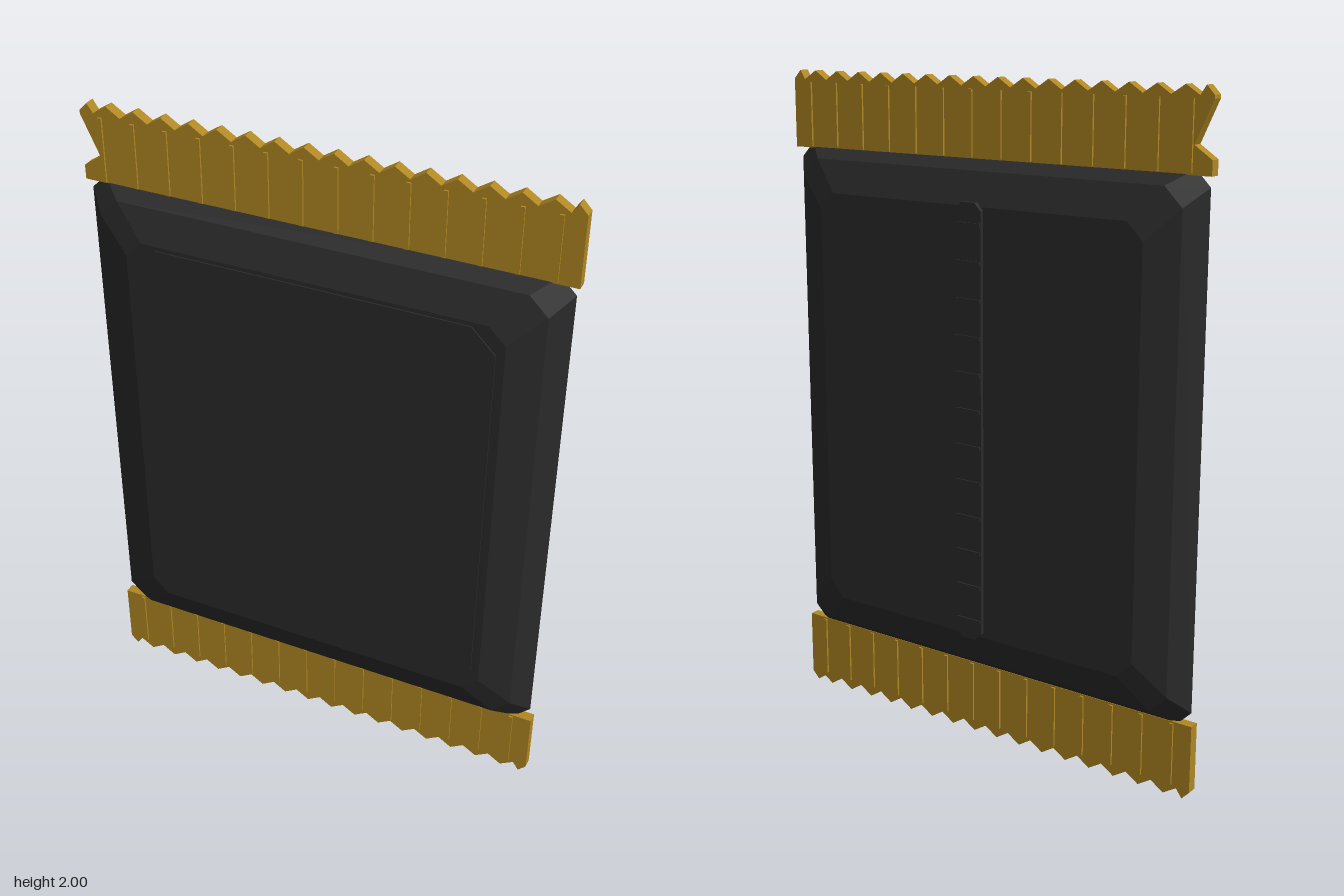
import * as THREE from 'three';

const ZC = 0.006; // mid-plane of the wrapper

export function createModel() {
  const model = new THREE.Group();
  const black = new THREE.MeshStandardMaterial({ color: 0x2b2b2b, flatShading: true });
  black.name = 'black wrapper';
  const gold = new THREE.MeshStandardMaterial({ color: 0xb08722, flatShading: true });
  gold.name = 'gold seal';

  const add = (name, geometry, material, x = 0, y = 0, z = 0, parent = model) => {
    const mesh = new THREE.Mesh(geometry, material);
    mesh.name = name;
    mesh.position.set(x, y, z);
    parent.add(mesh);
    return mesh;
  };
  // rectangle with cut corners, counter-clockwise
  const octagon = (w, h, c) => [
    [w, -h + c], [w, h - c], [w - c, h], [-w + c, h],
    [-w, h - c], [-w, -h + c], [-w + c, -h], [w - c, -h],
  ];
  const extrude = (points, depth) => new THREE.ExtrudeGeometry(
    new THREE.Shape(points.map(([x, y]) => new THREE.Vector2(x, y))),
    { depth, bevelEnabled: false });

  // Pillow body: cut-corner rings lofted from back to front
  const rings = [
    [0.56, 0.645, 0.05, -0.088], [0.655, 0.74, 0.055, -0.053], [0.707, 0.782, 0.045, 0],
    [0.655, 0.74, 0.055, 0.053], [0.56, 0.645, 0.05, 0.088],
  ];
  const pos = [], index = [];
  for (const [w, h, c, z] of rings) for (const [x, y] of octagon(w, h, c)) pos.push(x, y, z);
  for (let r = 0; r < rings.length - 1; r++) {
    for (let i = 0; i < 8; i++) {
      const a = r * 8 + i, b = r * 8 + (i + 1) % 8;
      index.push(a, b, b + 8, a, b + 8, a + 8);
    }
  }
  const last = (rings.length - 1) * 8;
  for (let i = 1; i < 7; i++) {
    index.push(0, i + 1, i);
    index.push(last, last + i, last + i + 1);
  }
  const body = new THREE.BufferGeometry();
  body.setAttribute('position', new THREE.Float32BufferAttribute(pos, 3));
  body.setIndex(index);
  body.computeVertexNormals();
  add('wrapperBody', body, black, 0, 1.003, ZC);

  // Raised front panel
  add('frontPanel', extrude(octagon(0.535, 0.633, 0.07), 0.006), black, 0, 1.003, ZC + 0.086);

  // Back seam with rounded ends and crimp ridges
  const seam = new THREE.Group();
  seam.name = 'backSeam';
  model.add(seam);
  add('seamStrip', extrude(octagon(0.045, 0.655, 0.022), 0.014), black, 0, 1.005, -0.094, seam);
  for (let i = 0; i < 12; i++) {
    add('seamRidge', new THREE.BoxGeometry(0.086, 0.01, 0.008), black,
      0, 0.411 + i * 0.108, -0.095, seam);
  }

  // Crimped end seals with zigzag edges, drawn from the body outwards
  const addSeal = (name, flip, notched) => {
    const seal = new THREE.Group();
    seal.name = name;
    const teeth = 16, pitch = 1.35 / teeth;
    const points = [[-0.717, 0], [0.717, 0], [0.717, 0.205], [0.693, 0.23]];
    for (let i = 0; i <= teeth; i++) {
      const x = 0.675 - i * pitch;
      points.push([x, 0.203]);
      if (i < teeth) points.push([x - pitch / 2, 0.23]);
    }
    points.push([-0.693, 0.23], [-0.717, 0.205]);
    if (notched) points.push([-0.717, 0.195], [-0.663, 0.078], [-0.717, 0.042]);
    add('sealStrip', extrude(points, 0.032), gold, 0, 0, -0.016, seal);
    for (let i = 0; i < 14; i++) {
      add('crimpRidge', new THREE.BoxGeometry(0.012, 0.19, 0.044), gold,
        -0.654 + i * 0.1006, 0.1, 0, seal);
    }
    seal.position.set(0, flip ? 0.232 : 1.77, ZC);
    if (flip) seal.rotation.x = Math.PI;
    model.add(seal);
  };
  addSeal('topSeal', false, true);
  addSeal('bottomSeal', true, false);

  return model;
}
